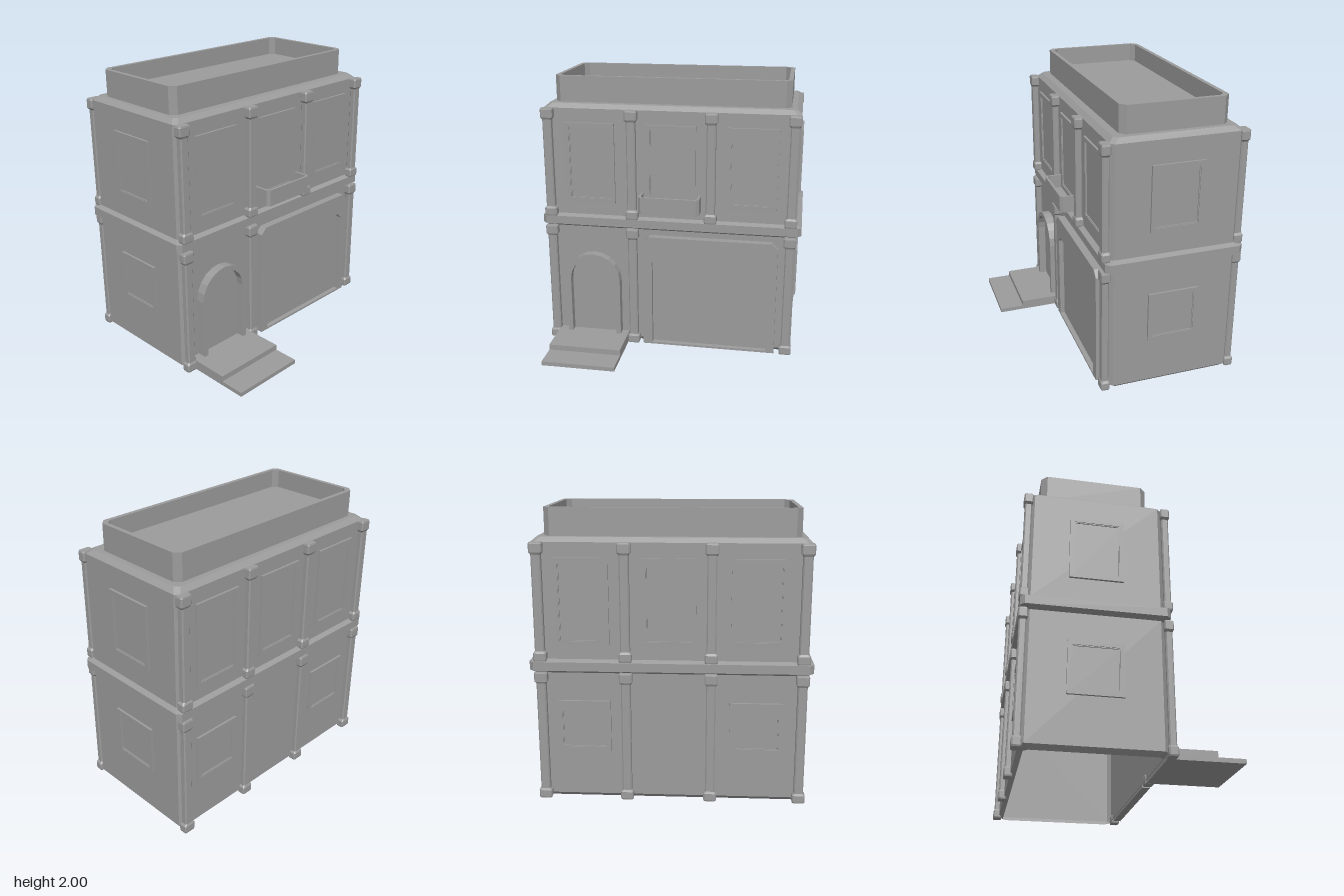
import * as THREE from 'three';

const mat = new THREE.MeshStandardMaterial({ color: 0x9b9b9b, flatShading: true, side: THREE.DoubleSide });

function add(parent, name, geometry, x = 0, y = 0, z = 0) {
  const mesh = new THREE.Mesh(geometry, mat);
  mesh.name = name;
  mesh.position.set(x, y, z);
  parent.add(mesh);
  return mesh;
}

// Stacked rectangles with cut corners; each level is [y, halfX, halfZ, cornerCut]
function loft(levels, capBottom = true, capTop = true) {
  const pos = [], index = [], n = 8;
  for (const [y, a, b, c] of levels) {
    const ring = [[a, b - c], [a, c - b], [a - c, -b], [c - a, -b], [-a, c - b], [-a, b - c], [c - a, b], [a - c, b]];
    for (const [x, z] of ring) pos.push(x, y, z);
  }
  for (let l = 0; l < levels.length - 1; l++) {
    for (let i = 0; i < n; i++) {
      const p = l * n + i, q = l * n + (i + 1) % n;
      index.push(p, q, q + n, p, q + n, p + n);
    }
  }
  const top = (levels.length - 1) * n;
  for (let i = 1; i < n - 1; i++) {
    if (capBottom) index.push(0, i + 1, i);
    if (capTop) index.push(top, top + i, top + i + 1);
  }
  const g = new THREE.BufferGeometry();
  g.setAttribute('position', new THREE.Float32BufferAttribute(pos, 3));
  g.setIndex(index);
  const flat = g.toNonIndexed();
  flat.computeVertexNormals();
  return flat;
}

// Upright rectangle outline, with optional cut top corners
function panelPoints(x0, x1, y0, y1, cut = 0) {
  const pts = cut
    ? [[x0, y0], [x1, y0], [x1, y1 - cut], [x1 - cut, y1], [x0 + cut, y1], [x0, y1 - cut]]
    : [[x0, y0], [x1, y0], [x1, y1], [x0, y1]];
  return pts.map(p => new THREE.Vector2(...p));
}

// Arch line from the right foot over the top to the left foot
function archPoints(x, r, y0, spring) {
  const pts = [new THREE.Vector2(x + r, y0)];
  for (let i = 0; i <= 10; i++) {
    const a = Math.PI * i / 10;
    pts.push(new THREE.Vector2(x + r * Math.cos(a), spring + r * Math.sin(a)));
  }
  pts.push(new THREE.Vector2(x - r, y0));
  return pts;
}

function extrude(outer, hole, depth) {
  const shape = new THREE.Shape(outer);
  if (hole) shape.holes.push(new THREE.Path(hole));
  return new THREE.ExtrudeGeometry(shape, { depth, bevelEnabled: false });
}

// Framed window facing +z, centred on its own origin
function makeWindow(w, h) {
  const g = new THREE.Group();
  g.name = 'window';
  const rect = t => panelPoints(t - w / 2, w / 2 - t, t - h / 2, h / 2 - t);
  add(g, 'windowFrame', extrude(rect(0), rect(0.031), 0.016));
  add(g, 'windowBead', extrude(rect(0.031), rect(0.037), 0.011));
  add(g, 'windowPane', extrude(rect(0.037), null, 0.004));
  return g;
}

// Pilaster shaft with a bevelled block at each end
function makePilaster(y0, y1) {
  const cap = (y, k) => [y, 0.044 * k, 0.031 * k, 0.008];
  const shaft = y => [y, 0.032, 0.024, 0.008];
  return loft([cap(y0, 0.92), cap(y0 + 0.01, 1), cap(y0 + 0.055, 1), shaft(y0 + 0.07),
    shaft(y1 - 0.08), cap(y1 - 0.065, 1), cap(y1 - 0.01, 1), cap(y1, 0.92)]);
}

export function createModel() {
  const model = new THREE.Group();
  model.name = 'townHouse';
  const midZ = -0.229, halfX = 0.908, halfZ = 0.449;
  const front = midZ + halfZ, back = midZ - halfZ;

  // Walls: open underneath, with a belt between storeys and a bevelled roof edge
  const wall = (y, grow) => [y, halfX + grow, halfZ + grow, 0.028];
  add(model, 'walls', loft([wall(0.005, -0.03), wall(0.035, 0), wall(0.91, 0), wall(0.93, 0.036),
    wall(0.99, 0.036), wall(1.005, 0), wall(1.785, 0), wall(1.815, -0.035)], false), 0, 0, midZ);

  // Roof parapet with a sunken deck
  add(model, 'roofParapet', loft([[1.8, 0.84, 0.368, 0.04], [2, 0.84, 0.368, 0.04],
    [2, 0.81, 0.338, 0.035], [1.87, 0.81, 0.338, 0.035]], false), -0.005, 0, -0.237);

  // Pilasters on both long walls; the garage bay leaves one out
  const columns = [-0.873, -0.268, 0.3, 0.868];
  const lower = makePilaster(0.01, 0.92), upper = makePilaster(0.995, 1.787);
  for (const [i, x] of columns.entries()) {
    for (const z of [front + 0.024, back - 0.012]) {
      add(model, 'upperPilaster', upper, x, 0, z);
      if (i !== 2 || z < 0) add(model, 'lowerPilaster', lower, x, 0, z);
    }
  }

  // Windows
  const place = (w, h, x, y, z, turn) => {
    const win = makeWindow(w, h);
    win.position.set(x, y, z);
    win.rotation.y = turn;
    model.add(win);
  };
  for (const x of [-0.575, 0.01, 0.585]) {
    place(0.36, 0.585, x, 1.393, front, 0);
    place(0.36, 0.585, x, 1.393, back, Math.PI);
    if (x !== 0.01) place(0.36, 0.36, x, 0.535, back, Math.PI);
  }
  for (const s of [-1, 1]) {
    place(0.36, 0.46, s * halfX, 1.395, -0.23, s * Math.PI / 2);
    place(0.36, 0.36, s * halfX, 0.535, -0.23, s * Math.PI / 2);
  }

  // Hollow balcony
  add(model, 'balcony', loft([[1.07, 0.217, 0.1, 0.02], [1.19, 0.217, 0.1, 0.02],
    [1.19, 0.2, 0.083, 0.015], [1.09, 0.2, 0.083, 0.015]]), 0.012, 0, 0.252);

  // Arched door set back inside its surround
  const doorX = -0.568, sill = 0.075, spring = 0.51;
  const inner = archPoints(doorX, 0.17, sill, spring);
  add(model, 'doorSurround', extrude([...archPoints(doorX, 0.204, sill, spring), ...[...inner].reverse()],
    null, 0.065), 0, 0, front);
  add(model, 'door', extrude(inner, null, 0.01), 0, 0, front);

  // Garage door and its surround
  add(model, 'garageSurround', extrude(panelPoints(-0.19, 0.787, 0.015, 0.87, 0.045),
    panelPoints(-0.122, 0.725, 0.03, 0.717, 0.04), 0.055), 0, 0, front);
  add(model, 'garageDoor', extrude(panelPoints(-0.13, 0.735, 0.02, 0.725), null, 0.02), 0, 0, front);

  // Entrance steps
  for (const [top, reach] of [[0.08, 0.54], [0.04, 0.72]]) {
    add(model, 'step', new THREE.BoxGeometry(0.535, top - 0.01, reach - front),
      -0.578, (top + 0.01) / 2, (reach + front) / 2);
  }
  return model;
}
